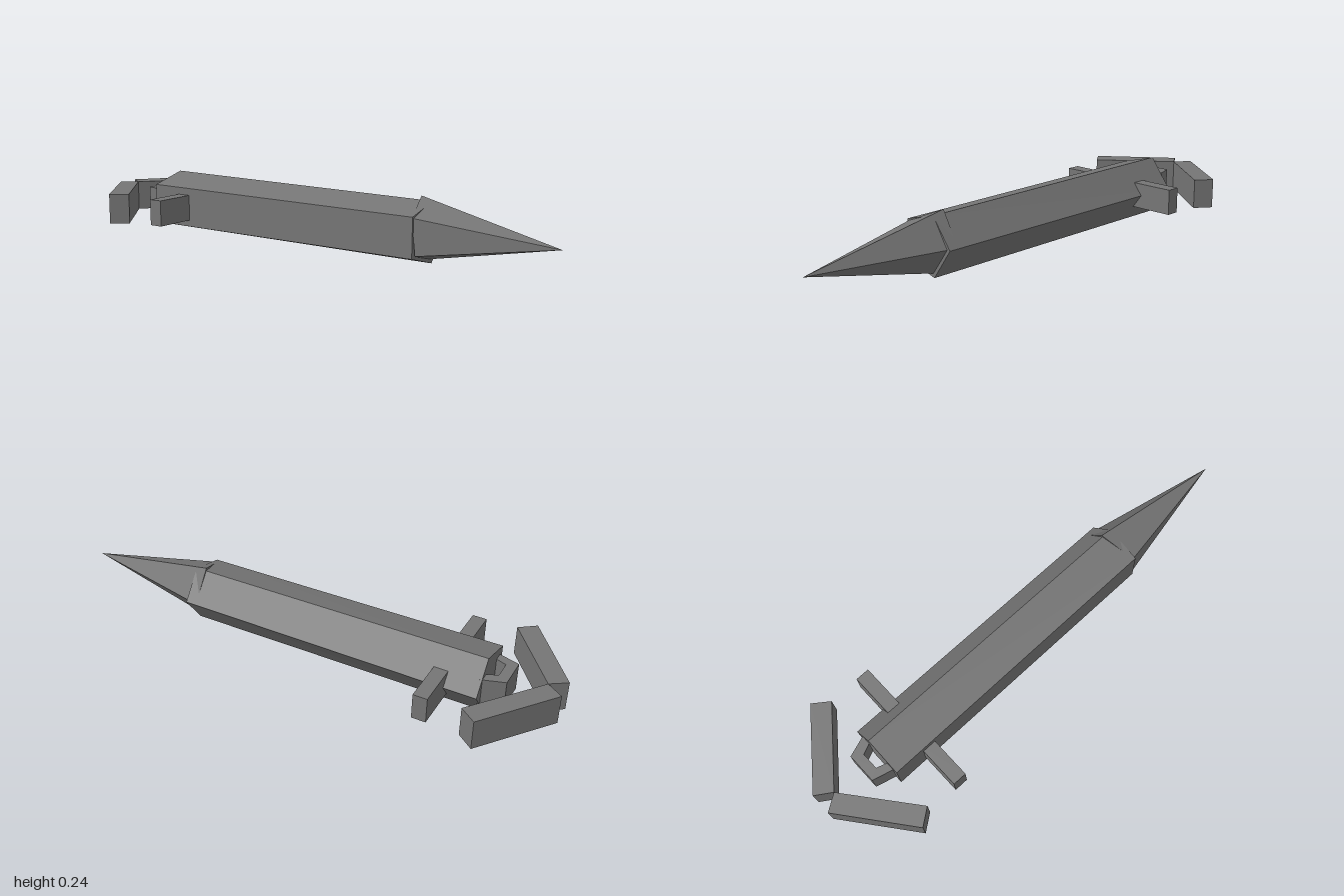
import * as THREE from 'three';

const steel = new THREE.MeshStandardMaterial({ color: 0x757575 });
steel.name = 'darkGrey';

// Skin matching rings of [x, y, z] corners, with flat caps at both ends
function loft(rings) {
  const pos = [];
  const tri = (...p) => p.forEach((v) => pos.push(...v));
  const n = rings[0].length;
  for (let r = 0; r < rings.length - 1; r++) {
    for (let i = 0; i < n; i++) {
      const j = (i + 1) % n;
      const [a, b, c, d] = [rings[r][i], rings[r][j], rings[r + 1][j], rings[r + 1][i]];
      tri(a, b, c);
      tri(a, c, d);
    }
  }
  const first = rings[0], last = rings[rings.length - 1];
  for (let i = 1; i < n - 1; i++) {
    tri(first[0], first[i + 1], first[i]);
    tri(last[0], last[i], last[i + 1]);
  }
  const g = new THREE.BufferGeometry();
  g.setAttribute('position', new THREE.Float32BufferAttribute(pos, 3));
  g.computeVertexNormals();
  return g;
}

// Upright prism from an [x, z] outline
function prism(outline, y0, y1) {
  const shape = new THREE.Shape(outline.map(([x, z]) => new THREE.Vector2(x, -z)));
  const g = new THREE.ExtrudeGeometry(shape, { depth: y1 - y0, bevelEnabled: false });
  return g.rotateX(-Math.PI / 2).translate(0, y0, 0);
}

export function createModel() {
  const group = new THREE.Group();
  const add = (name, geometry) => {
    const mesh = new THREE.Mesh(geometry, steel);
    mesh.name = name;
    group.add(mesh);
  };

  // Five-sided body, tapering very slightly towards the nose
  add('body', loft([
    [[-0.73, 0.198, 0.105], [-0.73, 0.042, 0.105], [-0.73, 0.005, -0.042], [-0.73, 0.12, -0.13], [-0.73, 0.238, -0.042]],
    [[0.487, 0.19, 0.1], [0.487, 0.04, 0.102], [0.487, 0, -0.04], [0.487, 0.118, -0.125], [0.487, 0.228, -0.04]],
  ]));

  // Pointed nose on a slightly tilted base
  add('nose', loft([
    [[0.48, 0.185, 0.094], [0.495, 0.05, 0.094], [0.48, 0.015, -0.036], [0.445, 0.118, -0.12], [0.44, 0.243, -0.042]],
    Array(5).fill([1, 0.12, 0]),
  ]));

  // Open bracket behind the body
  add('tailBracket', prism([
    [-0.72, -0.09], [-0.81, -0.06], [-0.81, 0.06], [-0.72, 0.085],
    [-0.72, 0.052], [-0.77, 0.035], [-0.77, -0.033], [-0.72, -0.055],
  ], 0.065, 0.175));

  // Side pegs and swept tail plates, mirrored front to back
  for (const [side, s] of [['front', 1], ['back', -1]]) {
    const mirror = (pts) => pts.map(([x, z]) => [x, z * s]);
    add(side + 'Peg', prism(mirror([[-0.605, 0.05], [-0.605, 0.27], [-0.55, 0.27], [-0.55, 0.05]]), 0.067, 0.169));
    add(side + 'TailPlate', prism(mirror([[-1, 0.042], [-0.79, 0.312], [-0.727, 0.265], [-0.937, 0]]), 0.06, 0.178));
  }
  return group;
}
